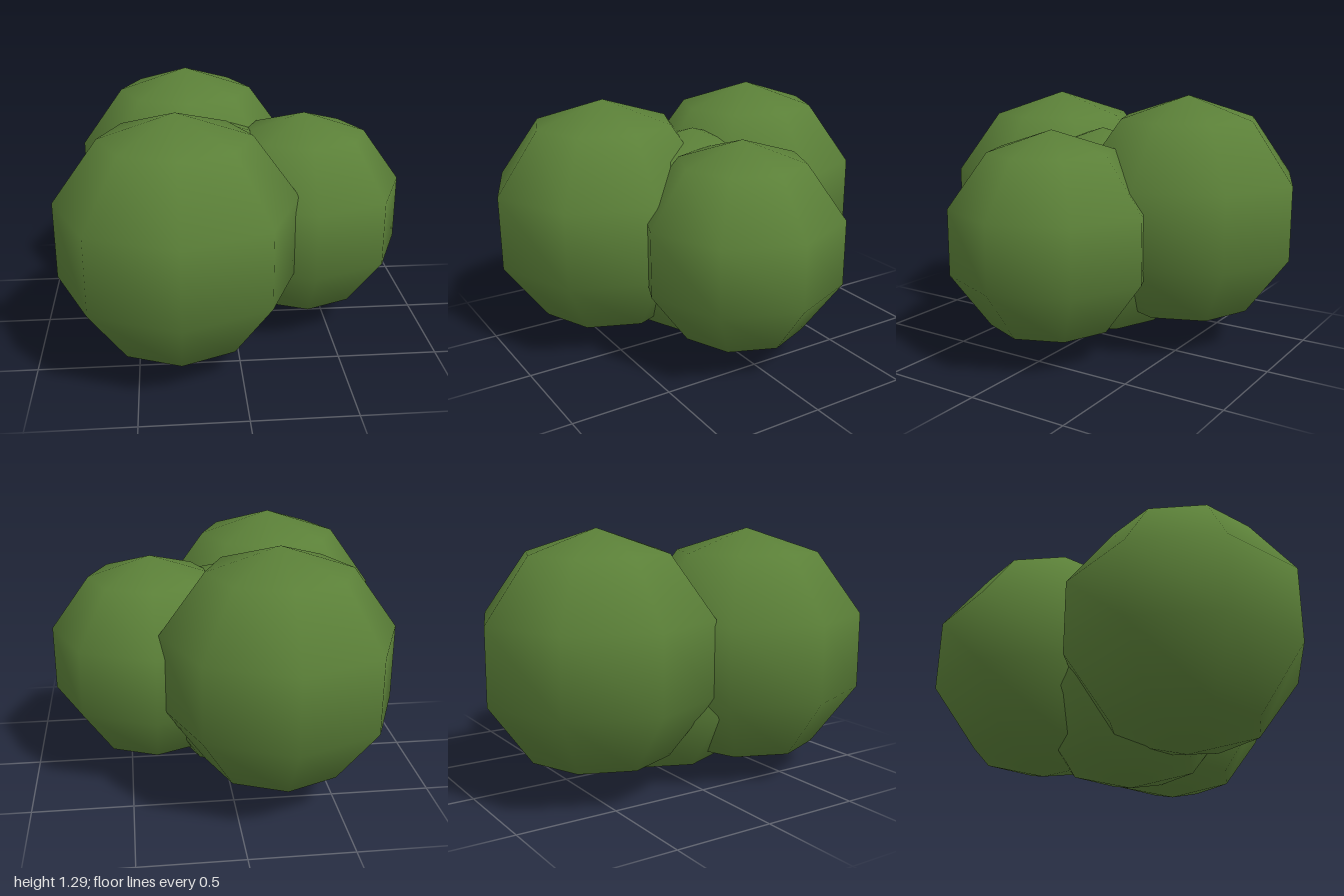
import * as THREE from 'three';

// One leafy clump: a coarse sphere with smooth normals
function clump(name, radius, x, y, z, material) {
  const mesh = new THREE.Mesh(new THREE.SphereGeometry(radius, 8, 5), material);
  mesh.name = name;
  mesh.position.set(x, y, z);
  return mesh;
}

export function createModel() {
  const bush = new THREE.Group();
  bush.name = 'bush';
  const leafGreen = new THREE.MeshStandardMaterial({ color: 0x5b8038 });
  leafGreen.name = 'leafGreen';

  // Core clump, with three outer clumps around it
  bush.add(
    clump('coreClump', 0.555, -0.085, 0.557, 0, leafGreen),
    clump('frontClump', 0.615, -0.295, 0.655, 0.41, leafGreen),
    clump('backClump', 0.6, -0.22, 0.69, -0.43, leafGreen),
    clump('leftClump', 0.535, 0.37, 0.61, 0.003, leafGreen),
  );
  return bush;
}
